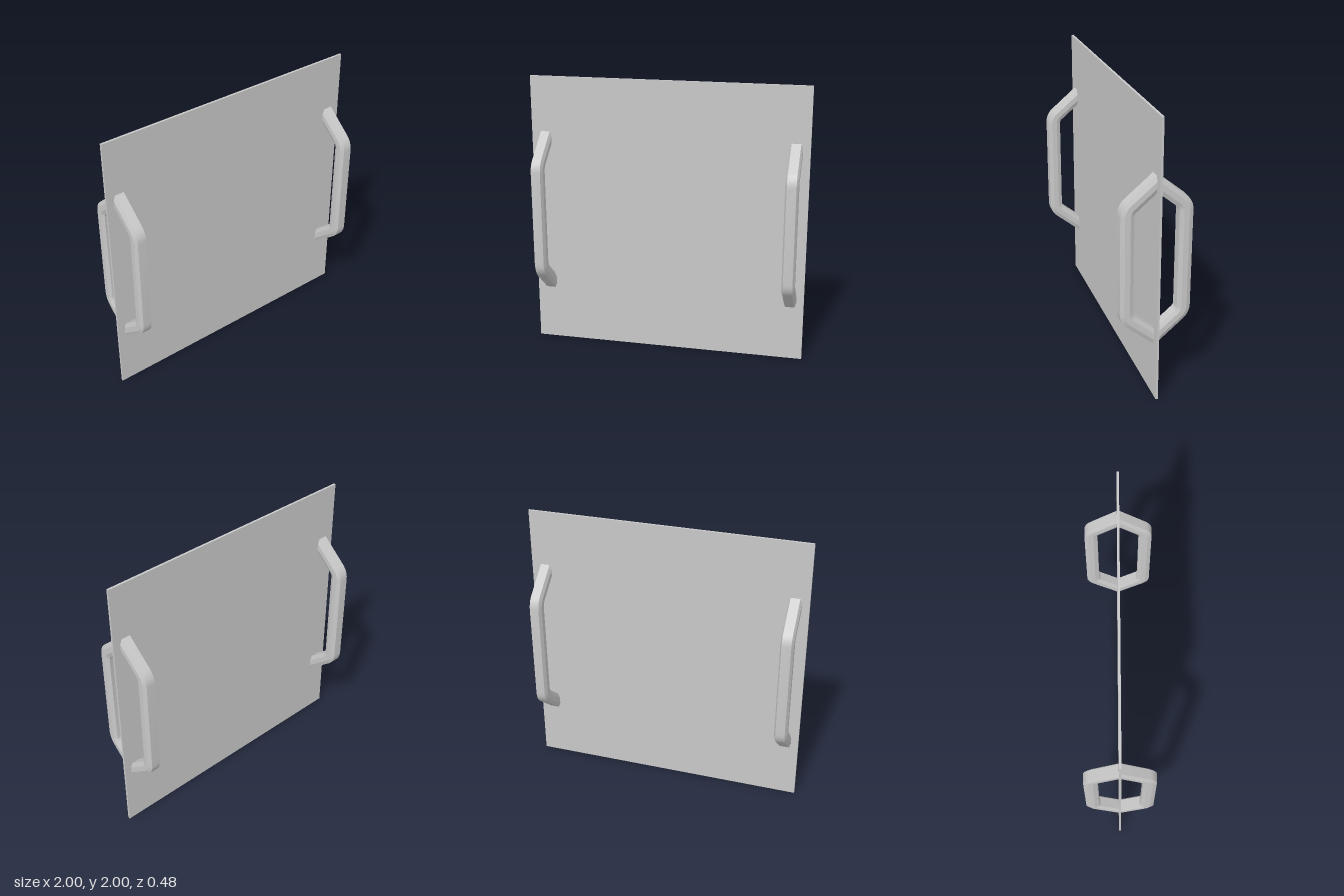
import * as THREE from 'three';
import { toCreasedNormals } from 'three/addons/utils/BufferGeometryUtils.js';

const SLOPE = THREE.MathUtils.degToRad(40); // fall of the slanted handle ends
const REACH = 0.195;                        // centre of the grip from the panel
const END_Y = 0.547;                        // slanted end above the handle's middle
const BEND = 0.086;                         // bend radius of the centre line

// Chamfered bar section: [across, outward], counter-clockwise
const SECTION = [
  [0.046, -0.018], [0.046, 0.018], [0.033, 0.046], [-0.033, 0.046],
  [-0.046, 0.018], [-0.046, -0.018], [-0.033, -0.046], [0.033, -0.046],
];

// Rings along the handle from top to bottom: centre (z, y) and outward vector (nz, ny)
function handleRings() {
  const top = [{ z: 0, y: END_Y, nz: 0, ny: 1 / Math.cos(SLOPE) }];
  const turn = Math.PI / 2 - SLOPE;
  const cornerY = END_Y - REACH * Math.tan(SLOPE);
  const arcY = cornerY - BEND * Math.tan(turn / 2);
  const steps = 6;
  for (let i = 0; i <= steps; i++) {
    const a = turn * (1 - i / steps);
    const nz = Math.cos(a), ny = Math.sin(a);
    top.push({ z: REACH - BEND + BEND * nz, y: arcY + BEND * ny, nz, ny });
  }
  const bottom = top.map(r => ({ ...r, y: -r.y, ny: -r.ny })).reverse();
  return [...top, ...bottom];
}

function handleGeometry() {
  const rings = handleRings(), n = SECTION.length;
  const positions = [], index = [];
  rings.forEach((r, i) => {
    for (const [x, t] of SECTION) positions.push(x, r.y + t * r.ny, r.z + t * r.nz);
    if (i === 0) return;
    for (let j = 0; j < n; j++) {
      const k = (j + 1) % n, a = (i - 1) * n, b = i * n;
      index.push(a + j, a + k, b + k, a + j, b + k, b + j);
    }
  });
  const geometry = new THREE.BufferGeometry();
  geometry.setAttribute('position', new THREE.Float32BufferAttribute(positions, 3));
  geometry.setIndex(index);
  return toCreasedNormals(geometry, 0.4);
}

export function createModel() {
  const model = new THREE.Group();
  model.name = 'panelWithHandles';
  const grey = new THREE.MeshStandardMaterial({ color: 0xc8c8c8 });
  grey.name = 'light grey';

  // Thin square panel
  const panel = new THREE.Mesh(new THREE.BoxGeometry(2, 2, 0.016), grey);
  panel.name = 'panel';
  panel.position.y = 1;
  model.add(panel);

  // A pull handle on each edge, front and back
  const geometry = handleGeometry();
  for (const [sideName, x] of [['Left', 0.901], ['Right', -0.901]]) {
    for (const [face, angle] of [['front', 0], ['back', Math.PI]]) {
      const handle = new THREE.Mesh(geometry, grey);
      handle.name = `${face}${sideName}Handle`;
      handle.position.set(x, 1, 0);
      handle.rotation.y = angle;
      model.add(handle);
    }
  }
  return model;
}
